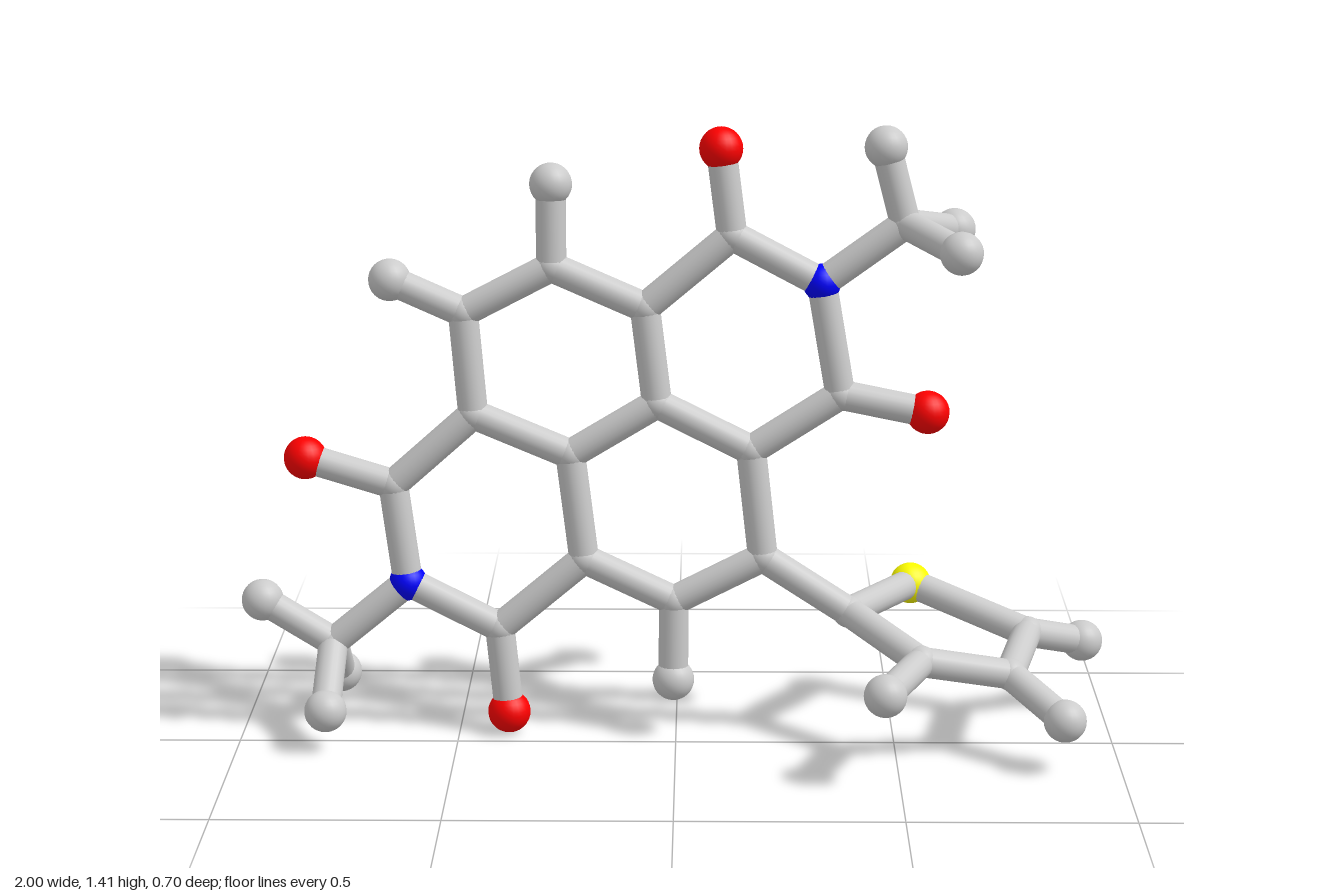
import * as THREE from 'three';

const BOND_R = 0.034;
const ELEMENTS = {
  carbon: { r: 0.037, color: 0xcccccc },
  hydrogen: { r: 0.048, color: 0xcccccc },
  oxygen: { r: 0.049, color: 0xff0000 },
  nitrogen: { r: 0.043, color: 0x0000ff },
  sulfur: { r: 0.048, color: 0xffff00 },
};

// The fused rings lie on one slightly tilted plane
const flat = (x, y) => new THREE.Vector3(x, y, -0.053 + 0.0377 * x - 0.0344 * y);
const at = (x, y, z) => new THREE.Vector3(x, y, z);

export function createModel() {
  const model = new THREE.Group();
  model.name = 'molecule';
  const materials = {}, balls = {};
  for (const [name, e] of Object.entries(ELEMENTS)) {
    materials[name] = new THREE.MeshStandardMaterial({ color: e.color });
    balls[name] = new THREE.SphereGeometry(e.r, 24, 16);
  }

  function addAtom(group, element, p) {
    const ball = new THREE.Mesh(balls[element], materials[element]);
    ball.name = element + 'Atom';
    ball.position.copy(p);
    group.add(ball);
  }

  function addBond(group, a, b) {
    const dir = b.clone().sub(a);
    const stick = new THREE.Mesh(
      new THREE.CylinderGeometry(BOND_R, BOND_R, dir.length(), 20, 1, true), materials.carbon);
    stick.name = 'bond';
    stick.position.copy(a).addScaledVector(dir, 0.5);
    stick.quaternion.setFromUnitVectors(new THREE.Vector3(0, 1, 0), dir.normalize());
    group.add(stick);
  }

  function addPart(name) {
    const group = new THREE.Group();
    group.name = name;
    model.add(group);
    return group;
  }

  // An end atom on its own stick
  function addTip(group, element, from, to) {
    addBond(group, from, to);
    addAtom(group, element, to);
  }

  // Four fused six-sided rings
  const core = addPart('fusedRings');
  const c = {
    a: flat(-0.48, 0.985), b: flat(-0.28, 1.09), c: flat(-0.07, 1.0), d: flat(-0.043, 0.78),
    e: flat(-0.24, 0.66), f: flat(-0.46, 0.75), g: flat(0.125, 1.165), h: flat(0.37, 0.805),
    i: flat(0.17, 0.675), j: flat(-0.645, 0.585), k: flat(-0.405, 0.25), l: flat(-0.21, 0.415),
    m: flat(0.198, 0.425), n: flat(-0.005, 0.32),
  };
  const nitrogens = { p: flat(0.326, 1.06), q: flat(-0.615, 0.355) };
  const all = { ...c, ...nitrogens };
  Object.values(c).forEach((p) => addAtom(core, 'carbon', p));
  Object.values(nitrogens).forEach((p) => addAtom(core, 'nitrogen', p));
  for (const pair of 'ab bc cd de ef fa cg gp ph hi id fj jq qk kl le im mn nl'.split(' '))
    addBond(core, all[pair[0]], all[pair[1]]);

  // Oxygen and hydrogen tips around the rings
  const tips = addPart('ringTips');
  addTip(tips, 'oxygen', c.g, flat(0.1, 1.36));
  addTip(tips, 'oxygen', c.h, flat(0.567, 0.767));
  addTip(tips, 'oxygen', c.j, flat(-0.845, 0.644));
  addTip(tips, 'oxygen', c.k, flat(-0.385, 0.049));
  addTip(tips, 'hydrogen', c.a, flat(-0.645, 1.057));
  addTip(tips, 'hydrogen', c.b, flat(-0.28, 1.277));
  addTip(tips, 'hydrogen', c.n, flat(-0.006, 0.132));

  // Three-pronged end groups on the nitrogens
  function addProngs(name, root, centre, ends) {
    const group = addPart(name);
    addBond(group, root, centre);
    addAtom(group, 'carbon', centre);
    ends.forEach((p) => addTip(group, 'hydrogen', centre, p));
  }
  addProngs('upperProngs', nitrogens.p, at(0.51, 1.195, -0.073),
    [at(0.465, 1.367, -0.077), at(0.625, 1.16, 0.084), at(0.63, 1.155, -0.217)]);
  addProngs('lowerProngs', nitrogens.q, at(-0.79, 0.21, -0.088),
    [at(-0.952, 0.307, -0.1), at(-0.795, 0.094, 0.063), at(-0.79, 0.09, -0.233)]);

  // Side ring with five corners, turned across the main plane
  const side = addPart('sideRing');
  const ring = [at(0.395, 0.297, -0.055), at(0.55, 0.29, -0.302), at(0.815, 0.212, -0.17),
    at(0.755, 0.19, 0.07), at(0.55, 0.238, 0.128)];
  ring.forEach((p, i) => {
    addAtom(side, i === 1 ? 'sulfur' : 'carbon', p);
    addBond(side, p, ring[(i + 1) % ring.length]);
  });
  addBond(side, c.m, ring[0]);
  addTip(side, 'hydrogen', ring[2], at(0.952, 0.166, -0.25));
  addTip(side, 'hydrogen', ring[3], at(0.87, 0.121, 0.19));
  addTip(side, 'hydrogen', ring[4], at(0.463, 0.216, 0.298));

  return model;
}
